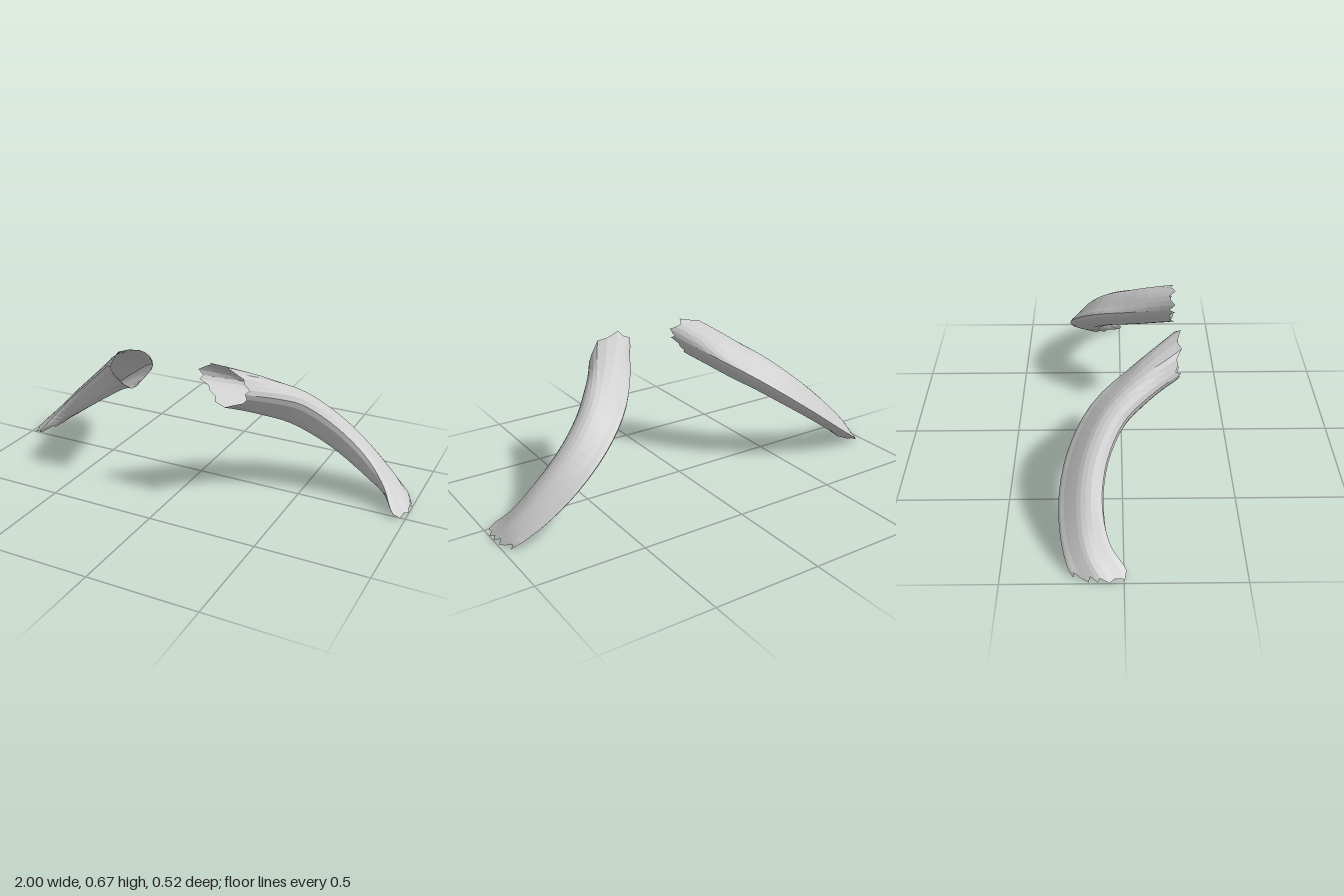
import * as THREE from 'three';

// Stations along the horn: x, z, height along the tilted plane's normal, half thickness
const STATIONS = [
  [0.225, 0.24, 0.6, 0.088], [0.335, 0.07, 0.605, 0.086], [0.445, -0.06, 0.61, 0.079],
  [0.57, -0.138, 0.608, 0.07], [0.7, -0.172, 0.604, 0.059], [0.82, -0.167, 0.597, 0.048],
  [0.9, -0.14, 0.588, 0.04], [0.95, -0.1, 0.578, 0.035],
];
// Cross-sections, point by point: (outward, up) in half sizes
const TOP = [[0.9, -0.5], [1, 0], [0.75, 0.5], [-0.15, 1], [-0.6, 0.8],
  [-0.95, 0.5], [-0.95, -0.1], [-0.6, -0.95], [0, -0.87], [0.5, -0.72]];
const MIDDLE = [[1, -0.5], [0.75, -0.1], [0.35, 0.5], [0, 0.9], [-0.45, 1],
  [-0.93, 0.72], [-0.95, 0], [-0.65, -1], [0.1, -0.95], [0.7, -0.8]];
const FOOT = [[1, -0.1], [0.7, 0.35], [0.4, 0.75], [0.1, 1], [-0.4, 0.7],
  [-1, 0.25], [-0.7, -0.2], [-0.3, -0.8], [0.1, -1], [0.6, -0.65]];
// Tooth depths of the torn ends
const TEETH = [0.018, -0.012, 0.01, 0.016, -0.018, 0.006, -0.016, 0.012, 0.004];
const RINGS = 24, SIDES = 20;
const N = new THREE.Vector3(0.6, 0.8, 0);

// Section at t: top shape, then the middle one, then the thin foot
function sectionAt(t) {
  const toMiddle = THREE.MathUtils.smoothstep(t, 0, 0.25);
  const toFoot = THREE.MathUtils.smoothstep(t, 0.6, 1);
  const points = MIDDLE.map((m, i) => new THREE.Vector3(...TOP[i], 0)
    .lerp(new THREE.Vector3(...m, 0), toMiddle)
    .lerp(new THREE.Vector3(...FOOT[i], 0), toFoot));
  return new THREE.CatmullRomCurve3(points, true, 'centripetal');
}

function hornGeometry(side) {
  const path = new THREE.CatmullRomCurve3(
    STATIONS.map(([x, z, n]) => new THREE.Vector3(x, (n - 0.6 * x) / 0.8, z)), false, 'centripetal');
  const sizes = new THREE.SplineCurve(STATIONS.map((s, i) => new THREE.Vector2(i, s[3])));

  const pos = [], index = [];
  for (let i = 0; i <= RINGS; i++) {
    const t = i / RINGS;
    const c = path.getPoint(t), T = path.getTangent(t);
    const W = new THREE.Vector3().crossVectors(N, T).normalize();
    const section = sectionAt(t);
    const hh = sizes.getPoint(t).y, hw = 0.09 + 0.01 * t * t;
    // The ends are cut level with z (top) and y (foot); the skew fades along the horn
    const nearTop = Math.max(0, 1 - t / 0.3), nearFoot = Math.max(0, 1 - (1 - t) / 0.25);
    for (let j = 0; j < SIDES; j++) {
      const s = section.getPoint(j / SIDES);
      const offset = W.clone().multiplyScalar(s.x * hw).addScaledVector(N, s.y * hh);
      let shift = -nearTop * offset.z / T.z - nearFoot * offset.y / T.y;
      if (i === 0 || i === RINGS) shift += TEETH[j % TEETH.length];
      const p = c.clone().add(offset).addScaledVector(T, shift);
      pos.push(side * p.x, Math.max(0, p.y), p.z);
      if (i < RINGS) {
        const k = (j + 1) % SIDES;
        const a = i * SIDES + j, b = i * SIDES + k, d = a + SIDES, e = b + SIDES;
        if (side > 0) index.push(a, b, d, b, e, d);
        else index.push(a, d, b, b, d, e);
      }
    }
  }
  const g = new THREE.BufferGeometry();
  g.setAttribute('position', new THREE.Float32BufferAttribute(pos, 3));
  g.setIndex(index);
  g.computeVertexNormals();
  return g;
}

export function createModel() {
  const group = new THREE.Group();
  group.name = 'hornPair';
  const grey = new THREE.MeshStandardMaterial({
    color: 0xcccccc, flatShading: true, side: THREE.DoubleSide });
  grey.name = 'paleGrey';
  // Mirrored pair of hollow curved horns
  for (const [side, name] of [[1, 'leftHorn'], [-1, 'rightHorn']]) {
    const horn = new THREE.Mesh(hornGeometry(side), grey);
    horn.name = name;
    group.add(horn);
  }
  return group;
}
